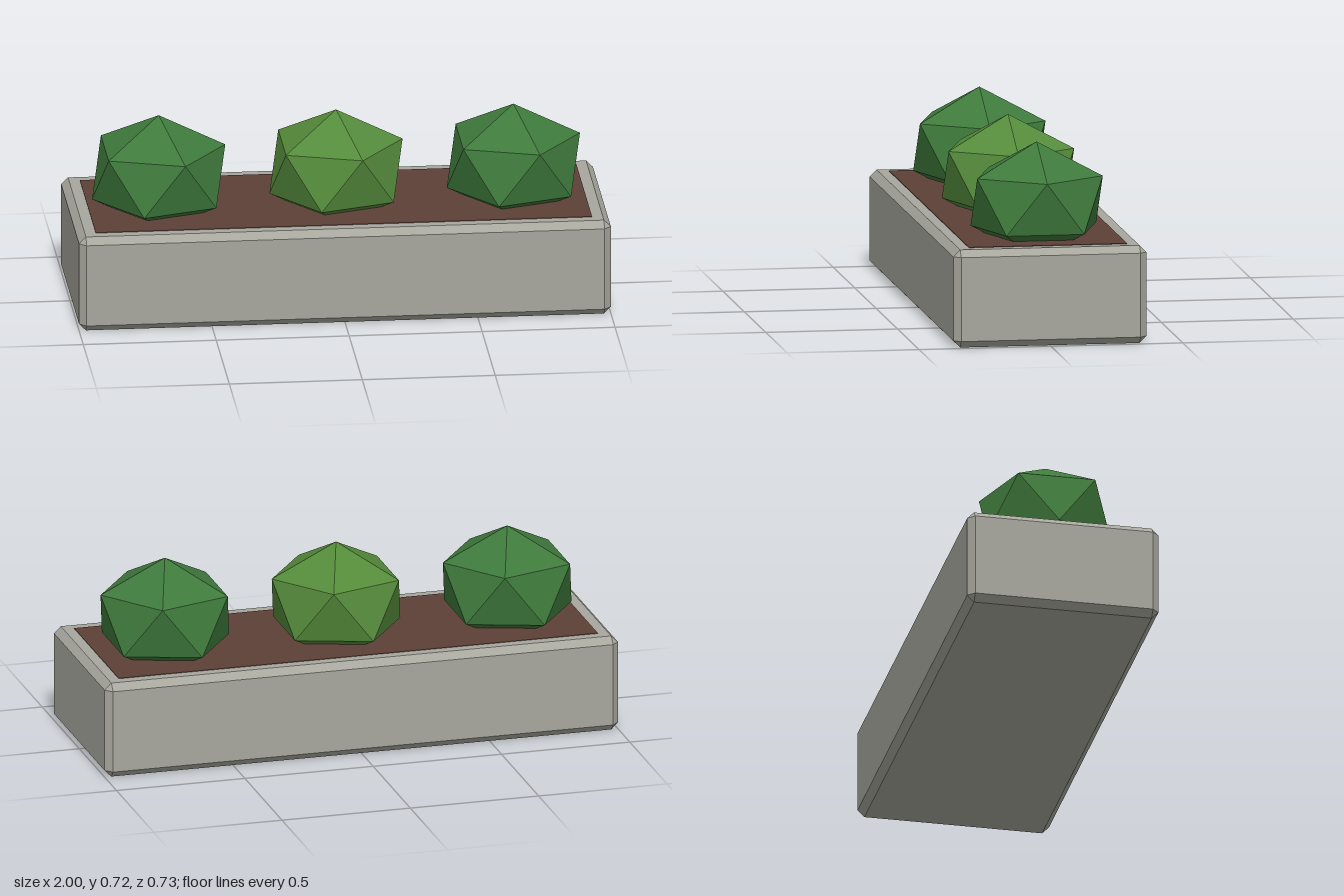
import * as THREE from 'three';
import { ConvexGeometry } from 'three/addons/geometries/ConvexGeometry.js';

const mat = (color) => new THREE.MeshStandardMaterial({ color, flatShading: true });

// Box with every edge and corner cut off by c
function chamferBox(w, h, d, c) {
  const points = [];
  for (const x of [-w / 2, w / 2])
    for (const y of [-h / 2, h / 2])
      for (const z of [-d / 2, d / 2]) {
        const ix = x - Math.sign(x) * c, iy = y - Math.sign(y) * c, iz = z - Math.sign(z) * c;
        points.push(
          new THREE.Vector3(x, iy, iz),
          new THREE.Vector3(ix, y, iz),
          new THREE.Vector3(ix, iy, z)
        );
      }
  return new ConvexGeometry(points);
}

export function createModel() {
  const group = new THREE.Group();
  const add = (name, geometry, color, x, y) => {
    const mesh = new THREE.Mesh(geometry, mat(color));
    mesh.name = name;
    mesh.position.set(x, y, 0);
    group.add(mesh);
  };

  // Stone trough
  add('planterBox', chamferBox(2, 0.37, 0.732, 0.026), 0xa8a79e, 0, 0.185);

  // Soil, just proud of the rim
  add('soil', new THREE.BoxGeometry(1.867, 0.06, 0.6), 0x5d4037, 0, 0.342);

  // Shrubs: icosahedra standing on a point, slightly squashed
  const shrub = new THREE.IcosahedronGeometry(0.28, 0);
  shrub.rotateZ(-Math.atan(2 / (1 + Math.sqrt(5))));
  shrub.scale(1, 0.8, 1);
  add('rightShrub', shrub, 0x3f7a3c, -0.667, 0.5);
  add('middleShrub', shrub, 0x558b3b, 0, 0.5);
  add('leftShrub', shrub, 0x3f7a3c, 0.667, 0.5);

  return group;
}
